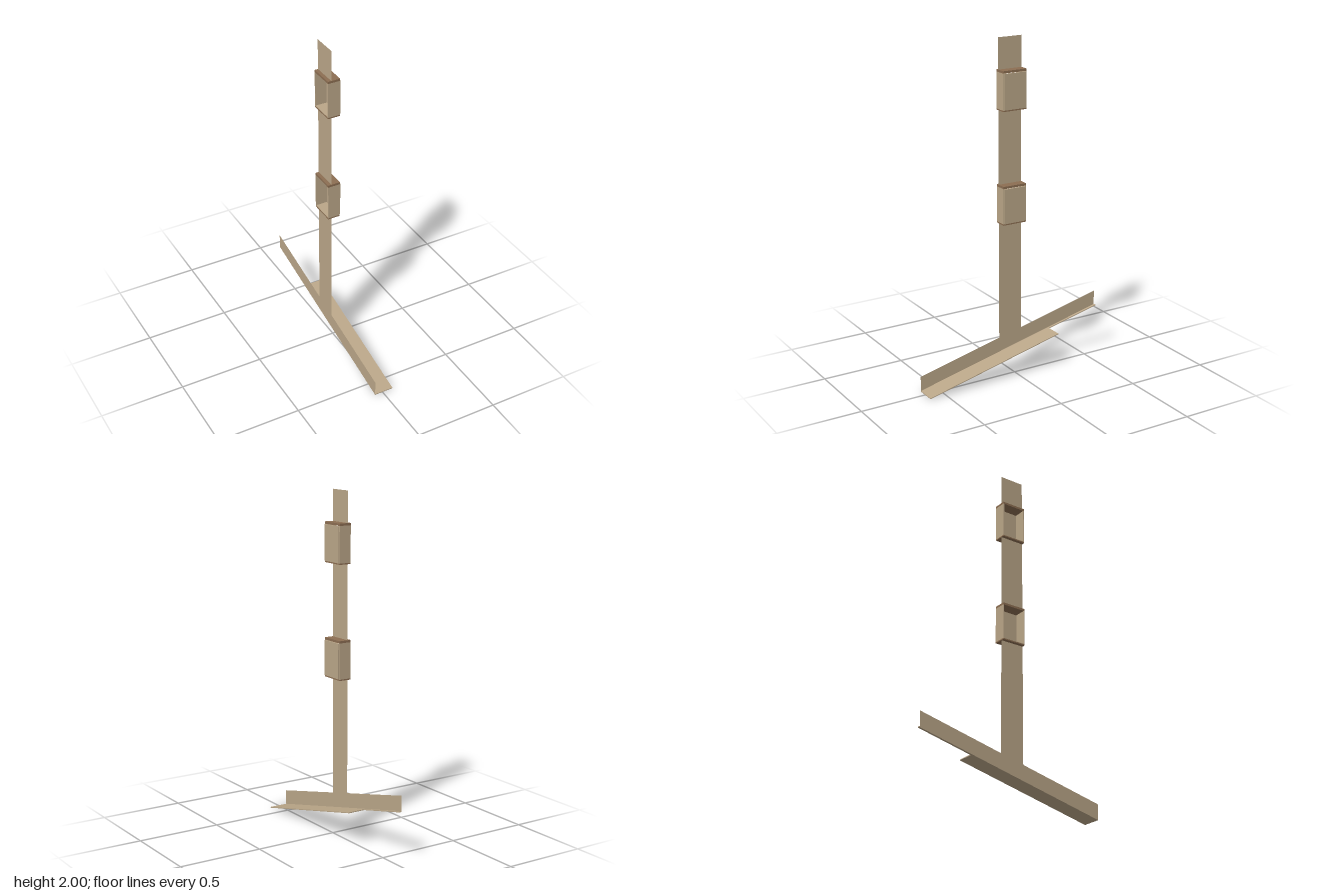
import * as THREE from 'three';

const tan = new THREE.MeshStandardMaterial({ color: 0xbaa688, side: THREE.DoubleSide });
tan.name = 'tan';
const brown = new THREE.MeshStandardMaterial({ color: 0x8c6e52 });
brown.name = 'brown';

const PLATE_X = -0.05;            // plane of the upright sheet
const SLOPE = 0.285 / 1.2;        // rise of the foot towards the back
const footY = z => 0.005 + (0.6 - z) * SLOPE;
const BOX = { x0: -0.07, x1: 0.004, h: 0.23, w: 0.15 };
const BOX_BOTTOMS = [0.927, 1.59];

function add(parent, name, geometry, material) {
  const mesh = new THREE.Mesh(geometry, material);
  mesh.name = name;
  parent.add(mesh);
  return mesh;
}

// Box given by its minimum and maximum corners
function block(parent, name, material, [x0, y0, z0], [x1, y1, z1]) {
  const g = new THREE.BoxGeometry(x1 - x0, y1 - y0, z1 - z0);
  g.translate((x0 + x1) / 2, (y0 + y1) / 2, (z0 + z1) / 2);
  return add(parent, name, g, material);
}

// Shape from points
const outline = pts => new THREE.Shape(pts.map(p => new THREE.Vector2(...p)));

// Hollow box, open towards -x, with a raised panel on the +x face
function createBox(y) {
  const box = new THREE.Group();
  box.name = 'wallBox';
  box.position.y = y;
  const { x0, x1, h, w } = BOX, z = w / 2, t = 0.005;
  block(box, 'lid', brown, [x0, h - 0.013, -z], [x1, h, z]);
  block(box, 'base', brown, [x0, 0, -z], [x1, 0.007, z]);
  block(box, 'floor', tan, [x0 + 0.001, 0.007, -z + t], [x1, 0.01, z - t]);
  for (const s of [-1, 1]) {
    const a = s * z, b = s * (z - t);
    block(box, 'sideWall', tan, [x0, 0.007, Math.min(a, b)], [x1, h - 0.013, Math.max(a, b)]);
  }
  block(box, 'facePanel', tan, [x1 - 0.004, 0.01, -z + t], [x1 + 0.006, h - 0.015, z - t]);
  return box;
}

export function createModel() {
  const model = new THREE.Group();
  model.name = 'bracketPost';

  // Upright sheet with its sloping foot strip, drawn in (-z, y)
  const up = 0.088;
  const sheet = outline([
    [-0.6, footY(0.6)], [0.6, footY(-0.6)], [0.6, footY(-0.6) + up],
    [0.075, footY(-0.075) + up], [0.075, 2], [-0.075, 2],
    [-0.075, footY(0.075) + up], [-0.6, footY(0.6) + up],
  ]);
  // Openings where the boxes sit
  for (const y of BOX_BOTTOMS) {
    const a = y + 0.008, b = y + BOX.h - 0.012, e = 0.072;
    sheet.holes.push(new THREE.Path([
      new THREE.Vector2(-e, a), new THREE.Vector2(-e, b),
      new THREE.Vector2(e, b), new THREE.Vector2(e, a),
    ]));
  }
  const sheetGeometry = new THREE.ShapeGeometry(sheet);
  sheetGeometry.rotateY(Math.PI / 2);
  sheetGeometry.translate(PLATE_X, 0, 0);
  add(model, 'uprightSheet', sheetGeometry, tan);

  // Sloping flange: wide in front, narrow at the back, drawn in (x, -z)
  const flange = outline([
    [PLATE_X, -0.6], [0.066, -0.6], [0.066, 0.265],
    [-0.036, 0.265], [-0.036, 0.603], [PLATE_X, 0.603],
  ]);
  const flangeGeometry = new THREE.ExtrudeGeometry(flange, { depth: 0.005, bevelEnabled: false });
  flangeGeometry.rotateX(-Math.PI / 2);
  const p = flangeGeometry.attributes.position;
  for (let i = 0; i < p.count; i++) {
    p.setY(i, p.getY(i) + footY(p.getZ(i)) - 0.005);
  }
  flangeGeometry.computeVertexNormals();
  add(model, 'footFlange', flangeGeometry, tan);

  for (const y of BOX_BOTTOMS) model.add(createBox(y));
  return model;
}
